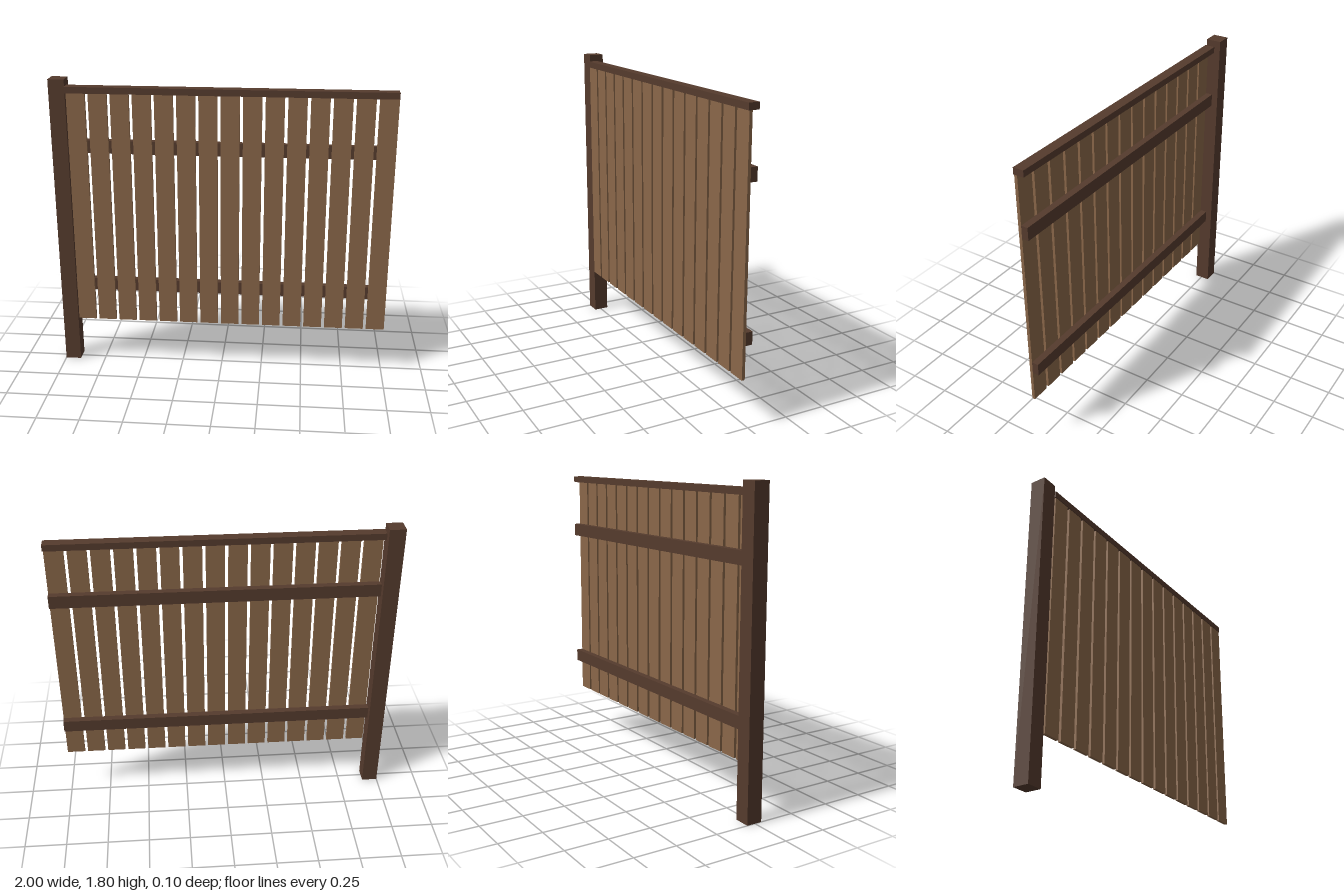
import * as THREE from 'three';

const darkWood = new THREE.MeshStandardMaterial({ color: 0x553b2d });
darkWood.name = 'darkWood';
const plankWood = new THREE.MeshStandardMaterial({ color: 0x8a6749 });
plankWood.name = 'plankWood';

// Box given by its lower and upper bounds on each axis
function board(name, material, [x0, x1], [y0, y1], [z0, z1]) {
  const mesh = new THREE.Mesh(new THREE.BoxGeometry(x1 - x0, y1 - y0, z1 - z0), material);
  mesh.position.set((x0 + x1) / 2, (y0 + y1) / 2, (z0 + z1) / 2);
  mesh.name = name;
  return mesh;
}

export function createModel() {
  const fence = new THREE.Group();
  fence.name = 'fencePanel';
  const postEdge = -0.905;

  // Square post at one end
  fence.add(board('post', darkWood, [-1, postEdge], [0, 1.8], [-0.051, 0.042]));

  // Cap and two horizontal rails behind the planks
  fence.add(board('capRail', darkWood, [postEdge, 1], [1.722, 1.76], [-0.012, 0.051]));
  fence.add(board('upperRail', darkWood, [postEdge, 1], [1.363, 1.44], [-0.012, 0.028]));
  fence.add(board('lowerRail', darkWood, [postEdge, 1], [0.485, 0.56], [-0.012, 0.028]));

  // Evenly spaced vertical planks
  const planks = new THREE.Group();
  planks.name = 'planks';
  const count = 15, width = 0.109, first = -0.898;
  const pitch = (1 - width - first) / (count - 1);
  for (let i = 0; i < count; i++) {
    const x = first + i * pitch;
    planks.add(board(`plank${i + 1}`, plankWood, [x, x + width], [0.29, 1.722], [0.028, 0.046]));
  }
  fence.add(planks);
  return fence;
}
